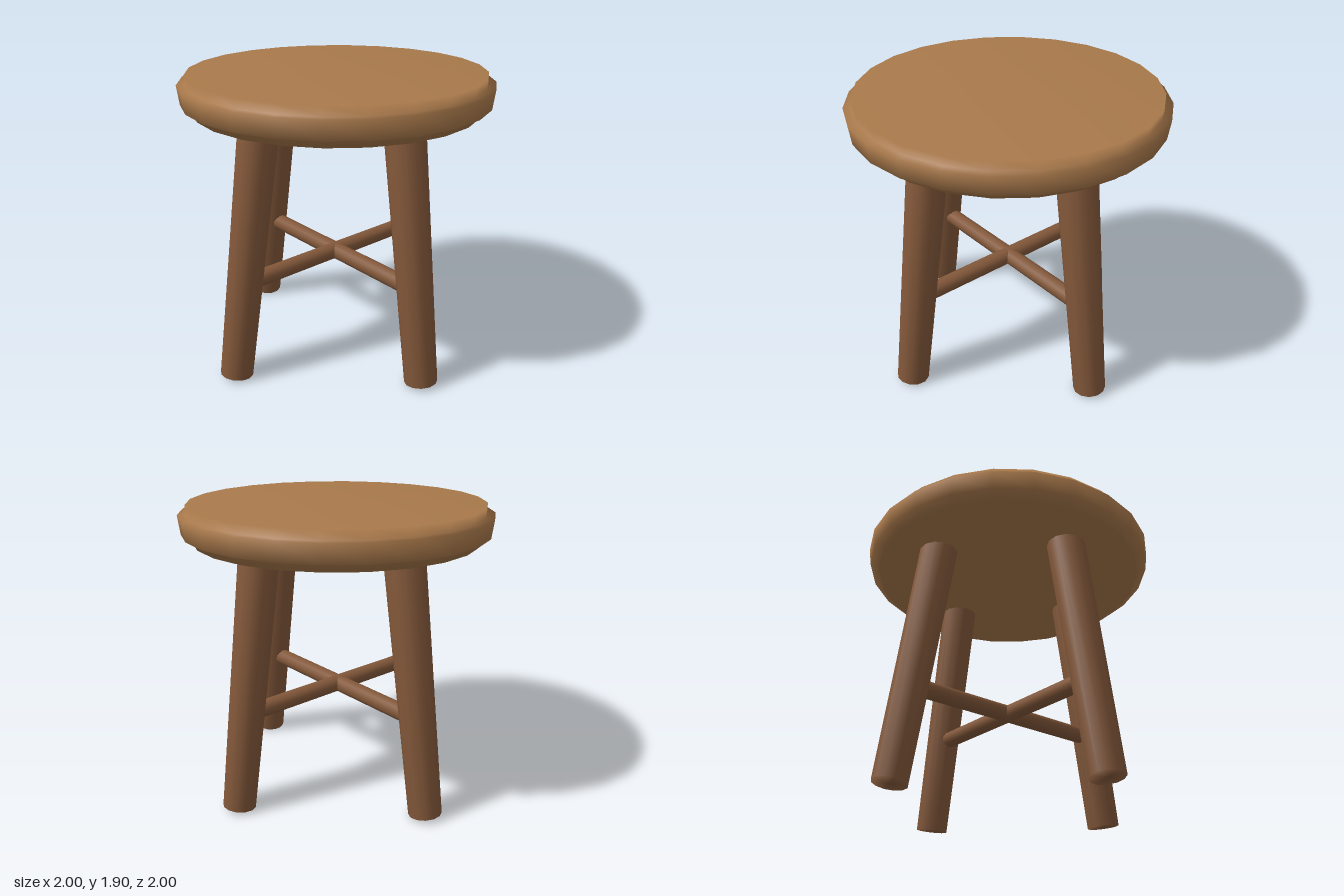
import * as THREE from 'three';

const seatWood = new THREE.MeshStandardMaterial({ color: 0xa9794b });
seatWood.name = 'seatWood';
const legWood = new THREE.MeshStandardMaterial({ color: 0x83583a });
legWood.name = 'legWood';

// Smooth turned part from [radius, height] pairs, bottom to top
function turned(name, profile, sides, material) {
  const points = profile.map(([r, y]) => new THREE.Vector2(r, y));
  const mesh = new THREE.Mesh(new THREE.LatheGeometry(points, sides), material);
  mesh.name = name;
  return mesh;
}

// Tapered rod running from point a to point b
function rod(name, a, b, ra, rb, sides) {
  const axis = b.clone().sub(a);
  const length = axis.length();
  const mesh = turned(name, [[0, 0], [ra, 0], [rb, length], [0, length]], sides, legWood);
  mesh.position.copy(a);
  mesh.quaternion.setFromUnitVectors(new THREE.Vector3(0, 1, 0), axis.normalize());
  return mesh;
}

export function createModel() {
  const stool = new THREE.Group();
  stool.name = 'stool';

  // Round seat with a stepped rim
  stool.add(turned('seat', [
    [0, 1.665], [0.918, 1.665], [0.926, 1.72], [0.985, 1.72],
    [1, 1.84], [0.945, 1.84], [0.95, 1.9], [0, 1.9],
  ], 24, seatWood));

  // Four splayed legs, cut square to their own axis
  for (const sx of [-1, 1]) {
    for (const sz of [-1, 1]) {
      const x = sx < 0 ? -0.613 : 0.588;
      const foot = new THREE.Vector3(x, 0.016, sz * 0.603);
      const head = new THREE.Vector3(sx * 0.42, 1.76, sz * 0.418);
      const name = (sz > 0 ? 'front' : 'back') + (sx > 0 ? 'Left' : 'Right') + 'Leg';
      stool.add(rod(name, foot, head, 0.107, 0.128, 12));
    }
  }

  // Two stretchers crossing between opposite legs
  for (const s of [-1, 1]) {
    const a = new THREE.Vector3(-0.53, 0.645, -0.53 * s);
    const b = new THREE.Vector3(0.51, 0.645, 0.53 * s);
    stool.add(rod(s > 0 ? 'stretcherA' : 'stretcherB', a, b, 0.056, 0.056, 12));
  }

  return stool;
}
